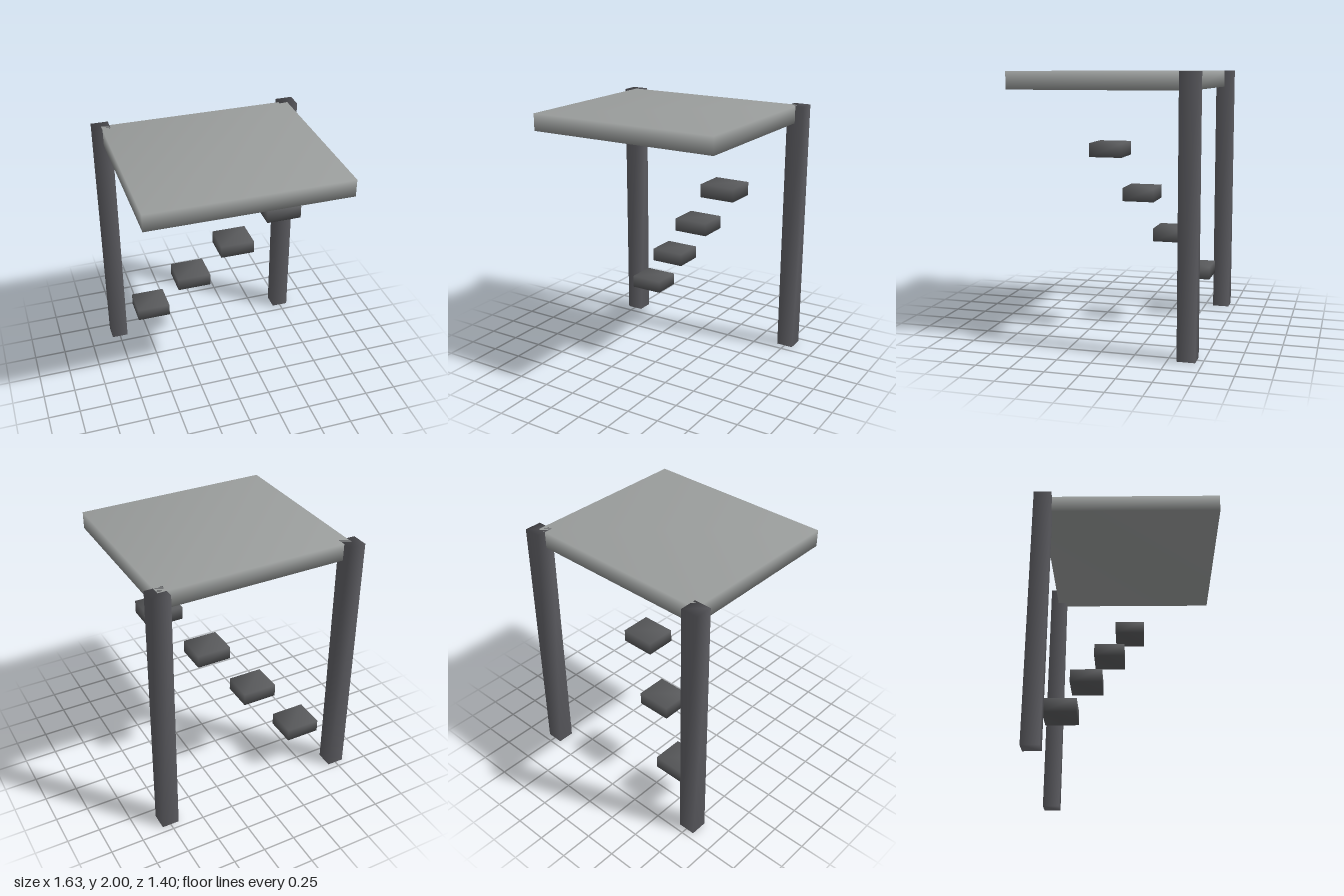
import * as THREE from 'three';
import { mergeVertices } from 'three/addons/utils/BufferGeometryUtils.js';

const postMaterial = new THREE.MeshStandardMaterial({ color: 0x5c5c61 });
const platformMaterial = new THREE.MeshStandardMaterial({ color: 0x9a9d9c });
const stepMaterial = new THREE.MeshStandardMaterial({ color: 0x595a5c });

// Box with welded corners, so the shading runs smoothly over its edges
function softBox(name, size, position, material) {
  const box = new THREE.BoxGeometry(...size);
  box.deleteAttribute('normal');
  box.deleteAttribute('uv');
  const geometry = mergeVertices(box);
  geometry.computeVertexNormals();
  const mesh = new THREE.Mesh(geometry, material);
  mesh.name = name;
  mesh.position.set(...position);
  return mesh;
}

export function createModel() {
  const model = new THREE.Group();
  model.name = 'steppedPlatform';

  // Flat platform, its rear corners let into the posts
  model.add(softBox('platform', [1.5, 0.13, 1.335], [0, 1.935, 0.0325], platformMaterial));

  // Two rear posts
  for (const [name, side] of [['leftPost', 1], ['rightPost', -1]]) {
    model.add(softBox(name, [0.132, 2, 0.132], [side * 0.75, 1, -0.634], postMaterial));
  }

  // Floating steps climbing towards the left and the front
  const steps = new THREE.Group();
  steps.name = 'steps';
  for (let i = 0; i < 4; i++) {
    const position = [-0.48 + i * 0.315, 0.36 + i * 0.36, -0.47 + i * 0.16];
    steps.add(softBox(`step${i + 1}`, [0.27, 0.1, 0.24], position, stepMaterial));
  }
  model.add(steps);

  return model;
}
